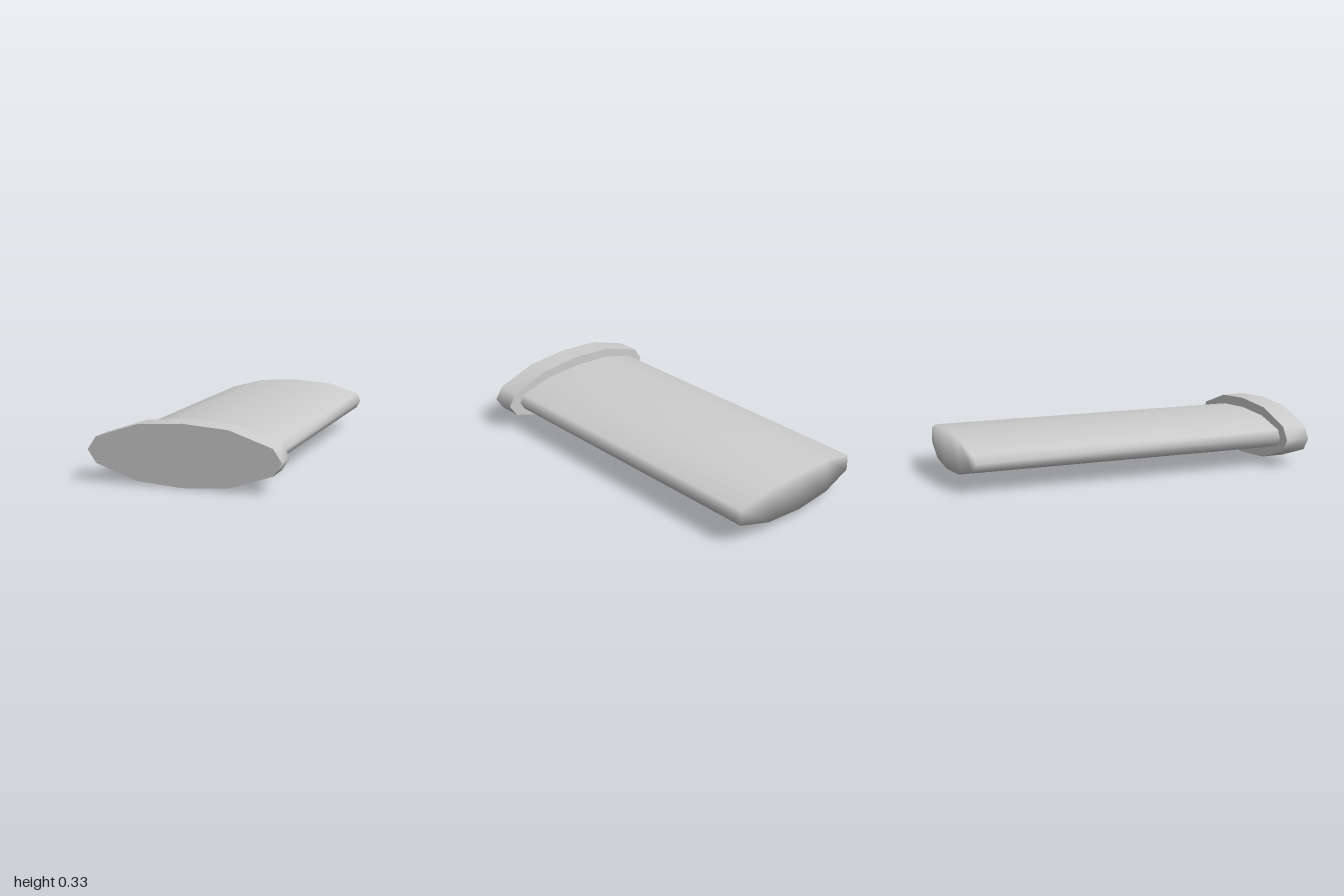
import * as THREE from 'three';

const MID = 0.167; // height of the long axis

// Full 12-sided outline, counter-clockwise from the +x tip, from one quarter.
function outline(quarter) {
  const [tip, a, b, top] = quarter;
  const upper = [tip, a, b, top, [-b[0], b[1]], [-a[0], a[1]], [-tip[0], 0]];
  const lower = [];
  for (let i = 5; i >= 1; i--) lower.push([upper[i][0], -upper[i][1]]);
  return [...upper, ...lower];
}

// Walls from zFront back to zBack(x); the back end is closed in upright strips.
// smoothEnd shares vertices between walls and back so the rim shades round.
function prism(pts, zFront, zBack, smoothEnd) {
  const n = pts.length;
  const pos = [];
  const idx = [];
  const ring = (z) => {
    const start = pos.length / 3;
    for (const [x, y] of pts) pos.push(x, y + MID, z(x));
    return start;
  };
  const strips = (s, flip) => {
    for (let k = 0; k < n / 2; k++) {
      const q = [k, k + 1, n - 1 - k, (n - k) % n].map((i) => s + i);
      const tris = [[q[0], q[1], q[2]], [q[0], q[2], q[3]]];
      for (const [a, b, c] of tris) {
        if (a === b || b === c || a === c) continue;
        idx.push(...(flip ? [a, c, b] : [a, b, c]));
      }
    }
  };
  const f = ring(() => zFront);
  const r = ring(zBack);
  for (let i = 0; i < n; i++) {
    const j = (i + 1) % n;
    idx.push(f + i, r + i, r + j, f + i, r + j, f + j);
  }
  strips(smoothEnd ? r : ring(zBack), true);
  strips(ring(() => zFront), false);
  const geo = new THREE.BufferGeometry();
  geo.setAttribute('position', new THREE.Float32BufferAttribute(pos, 3));
  geo.setIndex(idx);
  geo.computeVertexNormals();
  return geo;
}

export function createModel() {
  const group = new THREE.Group();
  const material = new THREE.MeshStandardMaterial({ color: 0xcccccc });
  const add = (name, geo) => {
    const mesh = new THREE.Mesh(geo, material);
    mesh.name = name;
    group.add(mesh);
  };

  // Wide flange at the front
  const flangePts = outline([[0.53, 0], [0.483, 0.07], [0.25, 0.149], [0, 0.167]]);
  add('flange', prism(flangePts, 1, () => 0.86, false));

  // Long flattened body with a gently bowed rear end
  const bodyPts = outline([[0.452, 0], [0.424, 0.046], [0.23, 0.098], [0, 0.111]]);
  const bow = (x) => {
    const a = Math.abs(x);
    return a > 0.44 ? -0.953 : -1 + 0.16 * a * a;
  };
  add('body', prism(bodyPts, 0.86, bow, true));

  return group;
}
